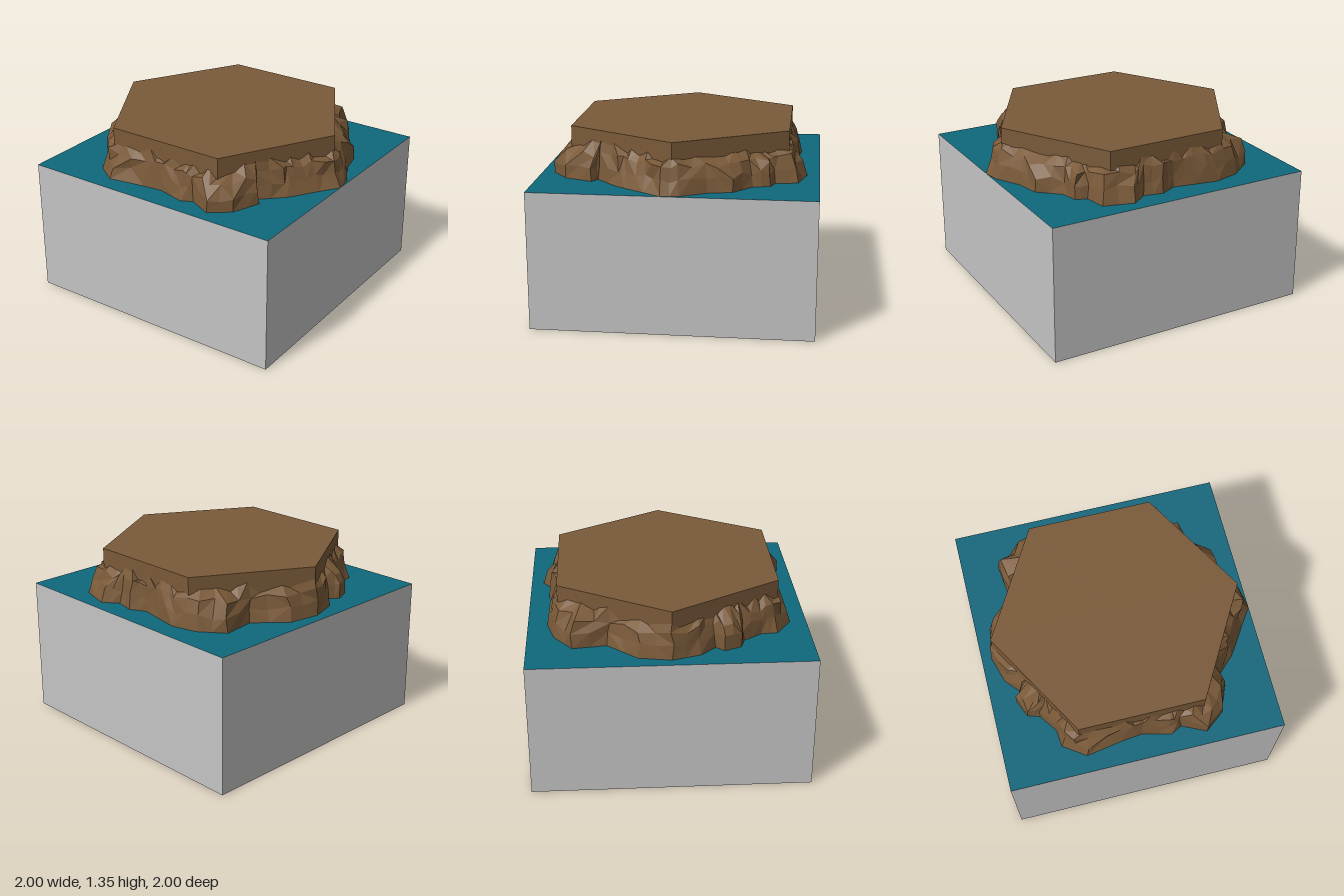
import * as THREE from 'three';

const grey = new THREE.MeshStandardMaterial({ color: 0xc4c4c4 });
const teal = new THREE.MeshStandardMaterial({ color: 0x0f677c });
const brown = new THREE.MeshStandardMaterial({ color: 0x7a5a39 });
grey.name = 'stone grey';
teal.name = 'water teal';
brown.name = 'earth brown';

// Foot outline of the rocks: x, z, and how far they bulge at mid height
const OUTLINE = [
  [1, 0.07, 0.6], [0.91, 0.2, 0.6], [0.82, 0.34, 0.7], [0.77, 0.41, 0.8], [0.61, 0.56, 0.6], [0.67, 0.6, 0.9],
  [0.59, 0.8, 0.9], [0.45, 0.91, 1], [0.28, 0.83, 0.8], [0.2, 0.87, 0.7], [0, 0.82, 0.7], [-0.15, 0.835, 0.6],
  [-0.42, 0.88, 0.6], [-0.58, 0.77, 0.8], [-0.59, 0.65, 0.9], [-0.68, 0.52, 0.9], [-0.77, 0.49, 1], [-0.82, 0.37, 1],
  [-0.77, 0.31, 0.8], [-0.87, 0.2, 0.8], [-0.93, 0, 0.8], [-0.89, -0.23, 0.7], [-0.7, -0.44, 0.7], [-0.73, -0.68, 1],
  [-0.56, -0.81, 0.8], [-0.37, -0.86, 0.7], [-0.2, -0.83, 0.8], [-0.04, -0.8, 0.7], [0.08, -0.86, 0.7],
  [0.22, -0.83, 0.8], [0.33, -0.91, 0.6], [0.55, -0.85, 0.7], [0.58, -0.69, 0.9], [0.66, -0.66, 1],
  [0.69, -0.54, 0.8], [0.84, -0.41, 0.9], [0.88, -0.24, 0.8], [0.98, -0.06, 0.6],
];

function seeded(seed) {
  return () => (seed = (seed * 16807) % 2147483647) / 2147483647;
}

// Distance from the centre to the hexagon's wall in a given direction
function hexRadius(angle) {
  const sector = Math.PI / 3;
  const local = ((angle % sector) + sector) % sector - sector / 2;
  return 0.779 / Math.cos(local);
}

// Craggy skirt: four rings climbing from the foot outline to the hexagon's wall
function rockGeometry() {
  const rand = seeded(4711);
  const jitter = (size) => (rand() - 0.5) * size;
  const foot = [];
  OUTLINE.forEach((p, i) => {
    const q = OUTLINE[(i + 1) % OUTLINE.length];
    foot.push(p, p.map((v, k) => (v + q[k]) / 2));
  });
  const columns = foot.map(([x, z, bulge]) => {
    const angle = Math.atan2(z, x);
    const outer = Math.hypot(x, z);
    const wall = hexRadius(angle);
    const top = 1.25 + jitter(0.09);
    const point = (t, y, turn) => {
      const r = wall + (outer - wall) * t;
      return [r * Math.cos(angle + turn), y, r * Math.sin(angle + turn)];
    };
    return [
      point(1, 1, 0),
      point(Math.min(1, bulge + jitter(0.35)), 1.1 + jitter(0.05), jitter(0.03)),
      point(bulge * 0.65 + jitter(0.45), 1.19 + jitter(0.05), jitter(0.03)),
      point(-0.15, top, 0),
    ];
  });
  const positions = [];
  columns.forEach((a, i) => {
    const b = columns[(i + 1) % columns.length];
    for (let k = 0; k < 3; k++) {
      if (rand() < 0.5) positions.push(...a[k], ...a[k + 1], ...b[k], ...b[k], ...a[k + 1], ...b[k + 1]);
      else positions.push(...a[k], ...b[k + 1], ...b[k], ...a[k], ...a[k + 1], ...b[k + 1]);
    }
  });
  const geometry = new THREE.BufferGeometry();
  geometry.setAttribute('position', new THREE.Float32BufferAttribute(positions, 3));
  geometry.computeVertexNormals();
  return geometry;
}

// Hexagonal slab with flat walls and corners on the x axis
function hexGeometry() {
  const geometry = new THREE.CylinderGeometry(0.9, 0.9, 0.35, 6).rotateY(Math.PI / 2).toNonIndexed();
  geometry.computeVertexNormals();
  return geometry;
}

export function createModel() {
  const model = new THREE.Group();
  const add = (name, geometry, material, y = 0) => {
    const mesh = new THREE.Mesh(geometry, material);
    mesh.name = name;
    mesh.position.y = y;
    model.add(mesh);
  };
  // Box faces in order +x, -x, +y, -y, +z, -z: only the top is water
  add('base', new THREE.BoxGeometry(2, 1, 2), [grey, grey, teal, grey, grey, grey], 0.5);
  add('plateau', hexGeometry(), brown, 1.175);
  add('rockSkirt', rockGeometry(), brown);
  return model;
}
